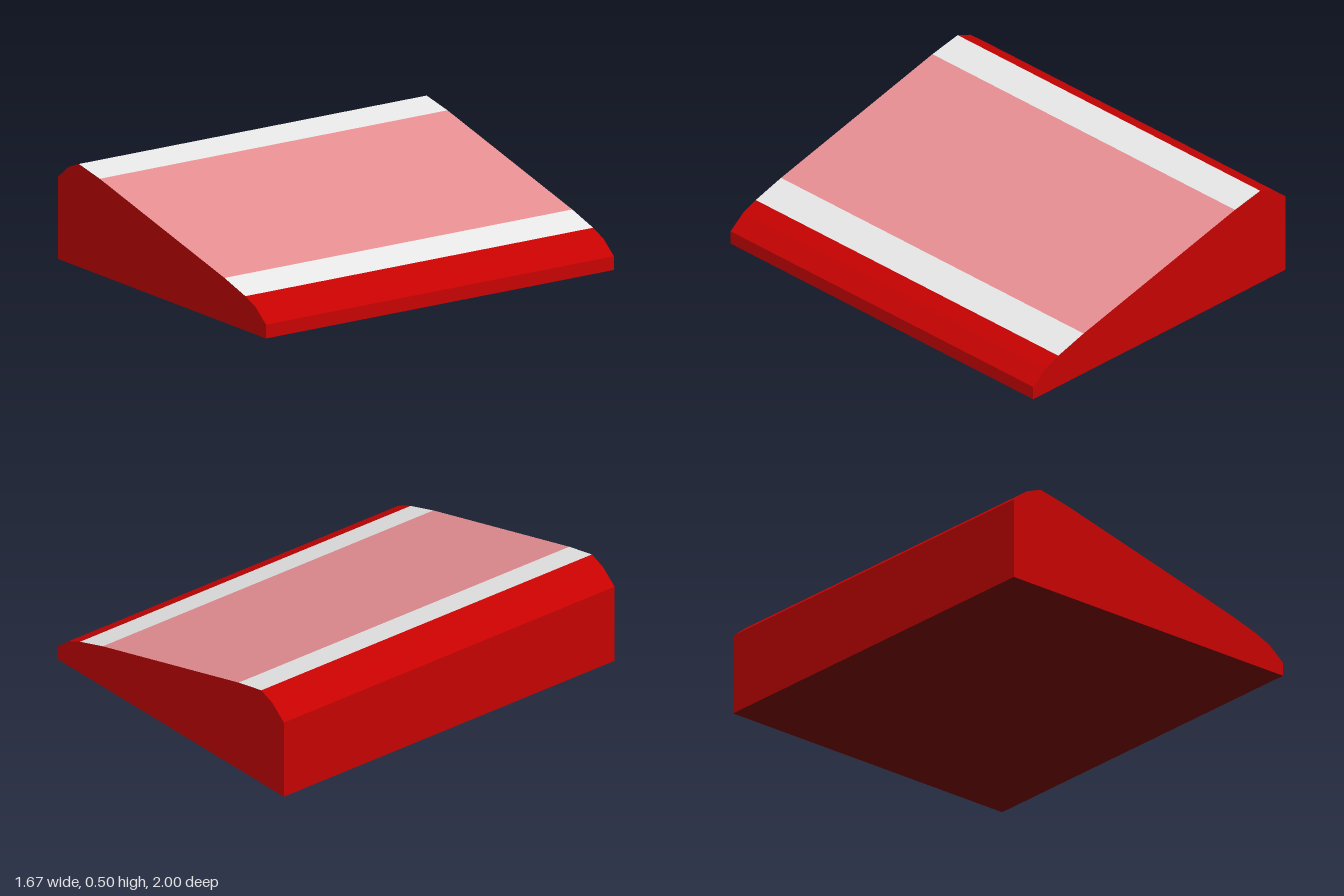
import * as THREE from 'three';

const HALF_DEPTH = 1;

// Side outline, counter-clockwise, seen from the front
const profile = [
  [-0.833, 0], [0.833, 0], [0.833, 0.067], [0.75, 0.133], [0.667, 0.167],
  [0.5, 0.217], [-0.5, 0.467], [-0.667, 0.5], [-0.75, 0.467], [-0.833, 0.4],
].map(([x, y]) => new THREE.Vector2(x, y));

function material(name, color) {
  const m = new THREE.MeshStandardMaterial({ color });
  m.name = name;
  return m;
}

// Flat panel spanning the full depth over one outline edge, facing outward
function panelGeometry(a, b) {
  const d = b.clone().sub(a);
  return new THREE.PlaneGeometry(d.length(), 2 * HALF_DEPTH)
    .rotateX(-Math.PI / 2)
    .rotateZ(Math.atan2(d.y, d.x) + Math.PI)
    .translate((a.x + b.x) / 2, (a.y + b.y) / 2, 0);
}

export function createModel() {
  const red = material('red', 0xc60202);
  const darkRed = material('dark red', 0x720202);
  const grey = material('light grey', 0xe6e6e6);
  const pink = material('pink', 0xe58e91);

  const model = new THREE.Group();
  model.name = 'wedge';
  const add = (name, geometry, mat) => {
    const mesh = new THREE.Mesh(geometry, mat);
    mesh.name = name;
    model.add(mesh);
  };

  // Panels in outline order: base, low side, slope, high side
  const panels = [
    ['base', darkRed], ['lowSide', red], ['lowBevelOuter', red], ['lowBevelInner', red],
    ['lowBorder', grey], ['slope', pink], ['highBorder', grey],
    ['highBevelInner', red], ['highBevelOuter', red], ['highSide', red],
  ];
  panels.forEach(([name, mat], i) =>
    add(name, panelGeometry(profile[i], profile[(i + 1) % profile.length]), mat));

  // End walls; the back one is the mirrored outline turned round
  const mirrored = profile.map((p) => new THREE.Vector2(-p.x, p.y)).reverse();
  add('frontWall', new THREE.ShapeGeometry(new THREE.Shape(profile)).translate(0, 0, HALF_DEPTH), red);
  add('backWall', new THREE.ShapeGeometry(new THREE.Shape(mirrored)).translate(0, 0, HALF_DEPTH).rotateY(Math.PI), red);

  return model;
}
